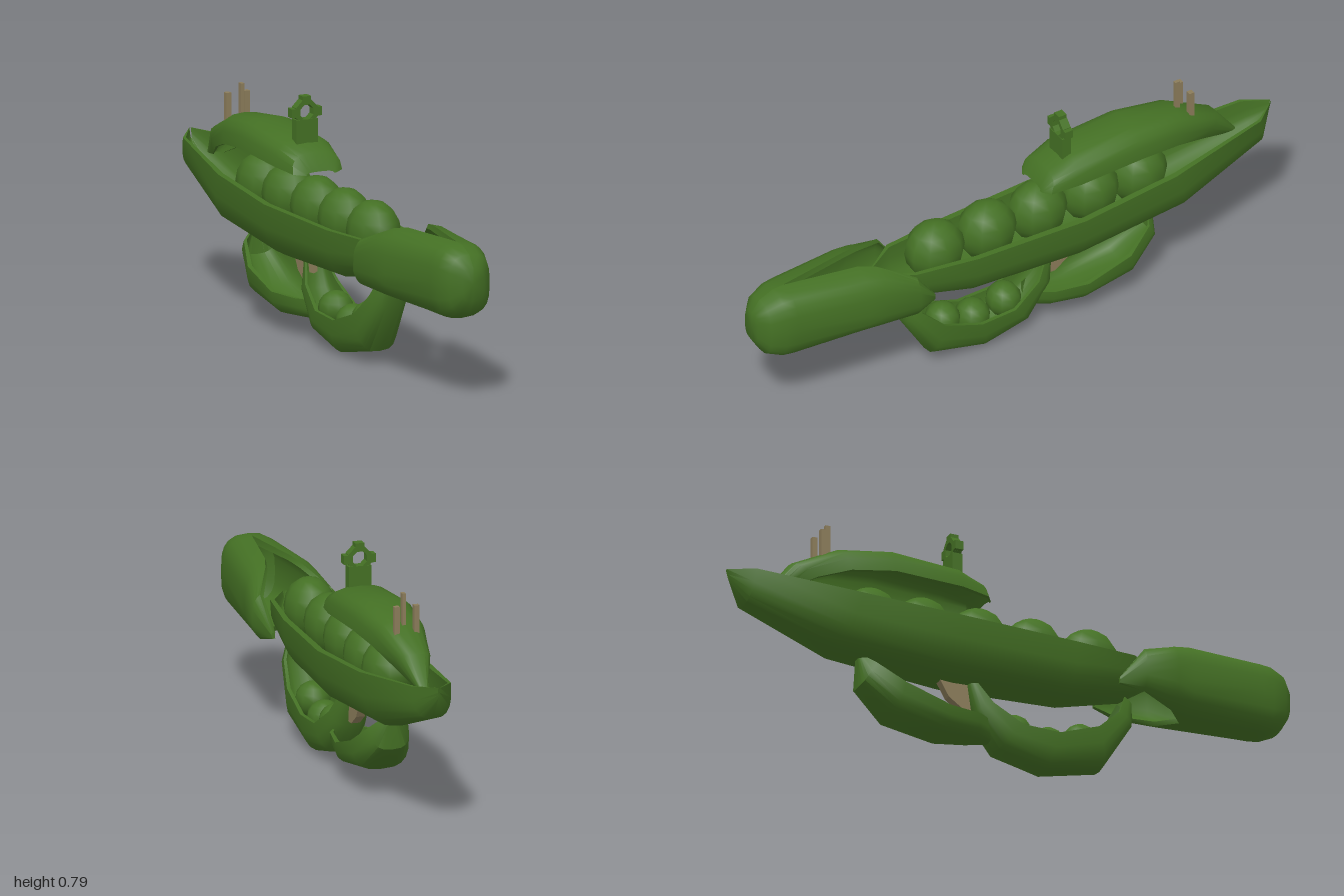
import * as THREE from 'three';
import { toCreasedNormals } from 'three/addons/utils/BufferGeometryUtils.js';

const green = new THREE.MeshStandardMaterial({ color: 0x447024 });
green.name = 'pod green';
const tan = new THREE.MeshStandardMaterial({ color: 0x8b7c5a });
tan.name = 'stem tan';

const pw = (v, p) => Math.sign(v) * Math.abs(v) ** p;

// Lofts a thick-walled open shell; each ring has matching outer and inner points
function shell(rings) {
  const n = rings[0].outer.length, m = 2 * n, pos = [], idx = [];
  for (const r of rings) pos.push(...[...r.outer, ...r.inner.slice().reverse()].flat());
  for (let k = 0; k < rings.length - 1; k++) {
    for (let i = 0; i < m; i++) {
      const a = k * m + i, b = k * m + (i + 1) % m;
      idx.push(a, b, b + m, a, b + m, a + m);
    }
  }
  const last = (rings.length - 1) * m;
  for (let i = 0; i < n - 1; i++) {
    const o = m - 1 - i;
    idx.push(i, o, o - 1, i, o - 1, i + 1);
    idx.push(last + i, last + o - 1, last + o, last + i, last + i + 1, last + o - 1);
  }
  // Turn the faces outward if the solid came out inverted
  let vol = 0;
  const v = i => new THREE.Vector3().fromArray(pos, 3 * i);
  for (let t = 0; t < idx.length; t += 3) vol += v(idx[t]).dot(v(idx[t + 1]).cross(v(idx[t + 2])));
  if (vol < 0) idx.reverse();
  const g = new THREE.BufferGeometry();
  g.setAttribute('position', new THREE.Float32BufferAttribute(pos, 3));
  g.setIndex(idx);
  return toCreasedNormals(g, 0.75);
}

// Trough from stations [rimZ, rimY, keelZ, keelY, halfWidth]
function trough(stations, wall = 0.84, power = 0.7) {
  const N = 10;
  return shell(stations.map(([rz, ry, kz, ky, w]) => {
    const arc = s => Array.from({ length: N + 1 }, (_, i) => {
      const a = Math.PI * i / N;
      const d = i % N ? s * Math.sin(a) ** power : 0;
      return [s * w * pw(Math.cos(a), power), ry + (ky - ry) * d, rz + (kz - rz) * d];
    });
    return { outer: arc(1), inner: arc(wall) };
  }));
}

// One half of the muzzle from stations [z, centreY, halfHeight, halfWidth, startAngle, endAngle, innerScale]
function muzzleHalf(side) {
  const N = 10;
  const stations = [
    [1.0, 0.41, 0.055, 0.04, 0, Math.PI, 0], [0.97, 0.405, 0.1, 0.075, 0, Math.PI, 0],
    [0.92, 0.405, 0.122, 0.093, 0, Math.PI, 0], [0.88, 0.405, 0.125, 0.1, 0, Math.PI, 0.8],
    [0.62, 0.405, 0.125, 0.13, 0.22, Math.PI, 0.86], [0.56, 0.4, 0.12, 0.136, 0.34, 2.75, 0.88],
    [0.44, 0.385, 0.1, 0.15, 0.85, 2.3, 0.9], [0.36, 0.34, 0.03, 0.11, 1.35, 1.8, 0.9],
  ];
  return shell(stations.map(([z, c, h, w, a0, a1, inner]) => {
    const arc = s => Array.from({ length: N + 1 }, (_, i) => {
      const a = a0 + (a1 - a0) * i / N;
      const x = i === N && a1 === Math.PI ? 0 : Math.sin(a) ** 0.7;
      return [side * s * w * x, c + s * h * pw(Math.cos(a), 0.7), z];
    });
    return { outer: arc(1), inner: arc(inner) };
  }));
}

export function createModel() {
  const model = new THREE.Group();
  const add = (name, geometry, material = green, x = 0, y = 0, z = 0) => {
    const mesh = new THREE.Mesh(geometry, material);
    mesh.name = name;
    mesh.position.set(x, y, z);
    model.add(mesh);
    return mesh;
  };
  const box = (name, w, h, d, x, y, z, mat) => add(name, new THREE.BoxGeometry(w, h, d), mat, x, y, z);

  // Main pod, with the stem end at the back
  add('mainPod', trough([
    [0.56, 0.43, 0.54, 0.4, 0.004], [0.42, 0.445, 0.42, 0.325, 0.095], [0.2, 0.44, 0.2, 0.272, 0.125],
    [-0.2, 0.445, -0.2, 0.26, 0.146], [-0.56, 0.468, -0.62, 0.29, 0.126],
    [-0.92, 0.51, -0.94, 0.4, 0.068], [-1.0, 0.52, -0.99, 0.48, 0.003],
  ]));

  // Split muzzle with notches above and below
  add('muzzleLeft', muzzleHalf(1));
  add('muzzleRight', muzzleHalf(-1));

  // Peas in the main pod
  for (const z of [0.295, 0.095, -0.1, -0.3, -0.485]) {
    add('mainPea', new THREE.SphereGeometry(0.105, 10, 8), green, 0, 0.442, z).scale.x = 0.83;
  }

  // Domed leaf on top, open below
  add('topLeaf', trough([
    [-0.08, 0.555, -0.085, 0.565, 0.06], [-0.1, 0.558, -0.12, 0.62, 0.09],
    [-0.2, 0.567, -0.2, 0.652, 0.108], [-0.44, 0.577, -0.44, 0.672, 0.108],
    [-0.59, 0.56, -0.62, 0.65, 0.09], [-0.7, 0.525, -0.78, 0.575, 0.062],
    [-0.8, 0.475, -0.86, 0.47, 0.02],
  ]));

  // Front sight: post, octagonal ring and three nubs
  const octagon = (Type, r) => new Type(Array.from({ length: 8 }, (_, i) => {
    const a = (i + 0.5) * Math.PI / 4;
    return new THREE.Vector2(r * Math.cos(a), r * Math.sin(a));
  }));
  const ring = octagon(THREE.Shape, 0.043);
  ring.holes.push(octagon(THREE.Path, 0.026));
  add('sightRing', new THREE.ExtrudeGeometry(ring, { depth: 0.03, bevelEnabled: false }), green, 0, 0.743, -0.205);
  box('sightPost', 0.078, 0.084, 0.034, 0, 0.677, -0.19, green);
  box('sightTopNub', 0.03, 0.018, 0.03, 0, 0.787, -0.19, green);
  for (const s of [-1, 1]) box('sightSideNub', 0.017, 0.03, 0.03, s * 0.046, 0.742, -0.19, green);

  // Rear sight sticks
  box('rearSightCentre', 0.012, 0.125, 0.018, 0, 0.682, -0.638, tan);
  for (const s of [-1, 1]) box('rearSightSide', 0.018, 0.1, 0.018, s * 0.034, 0.66, -0.67, tan);

  // Lower front pod with three small peas
  add('lowerFrontPod', trough([
    [0.41, 0.32, 0.445, 0.3, 0.035], [0.38, 0.25, 0.44, 0.22, 0.062], [0.3, 0.175, 0.335, 0.05, 0.078],
    [0.16, 0.125, 0.13, 0.004, 0.08], [0.03, 0.13, -0.04, 0.045, 0.078],
    [-0.07, 0.195, -0.13, 0.16, 0.062], [-0.12, 0.275, -0.145, 0.265, 0.035],
  ]));
  for (const [y, z] of [[0.143, 0.265], [0.11, 0.15], [0.13, 0.03]]) {
    add('smallPea', new THREE.SphereGeometry(0.06, 10, 8), green, 0, y, z);
  }

  // Lower rear pod closing the guard
  add('lowerRearPod', trough([
    [-0.06, 0.14, -0.06, 0.075, 0.035], [-0.12, 0.14, -0.12, 0.07, 0.075],
    [-0.24, 0.14, -0.23, 0.06, 0.098], [-0.4, 0.19, -0.42, 0.09, 0.1],
    [-0.49, 0.255, -0.53, 0.185, 0.068], [-0.515, 0.295, -0.535, 0.285, 0.02],
  ]));

  // Trigger, drawn in the side plane (shape x runs backwards)
  const trigger = new THREE.Shape([[0.13, 0.28], [0.13, 0.175], [0.16, 0.175], [0.21, 0.21], [0.25, 0.28]]
    .map(p => new THREE.Vector2(...p)));
  add('trigger', new THREE.ExtrudeGeometry(trigger, { depth: 0.03, bevelEnabled: false }), tan, -0.015)
    .rotation.y = Math.PI / 2;

  return model;
}
